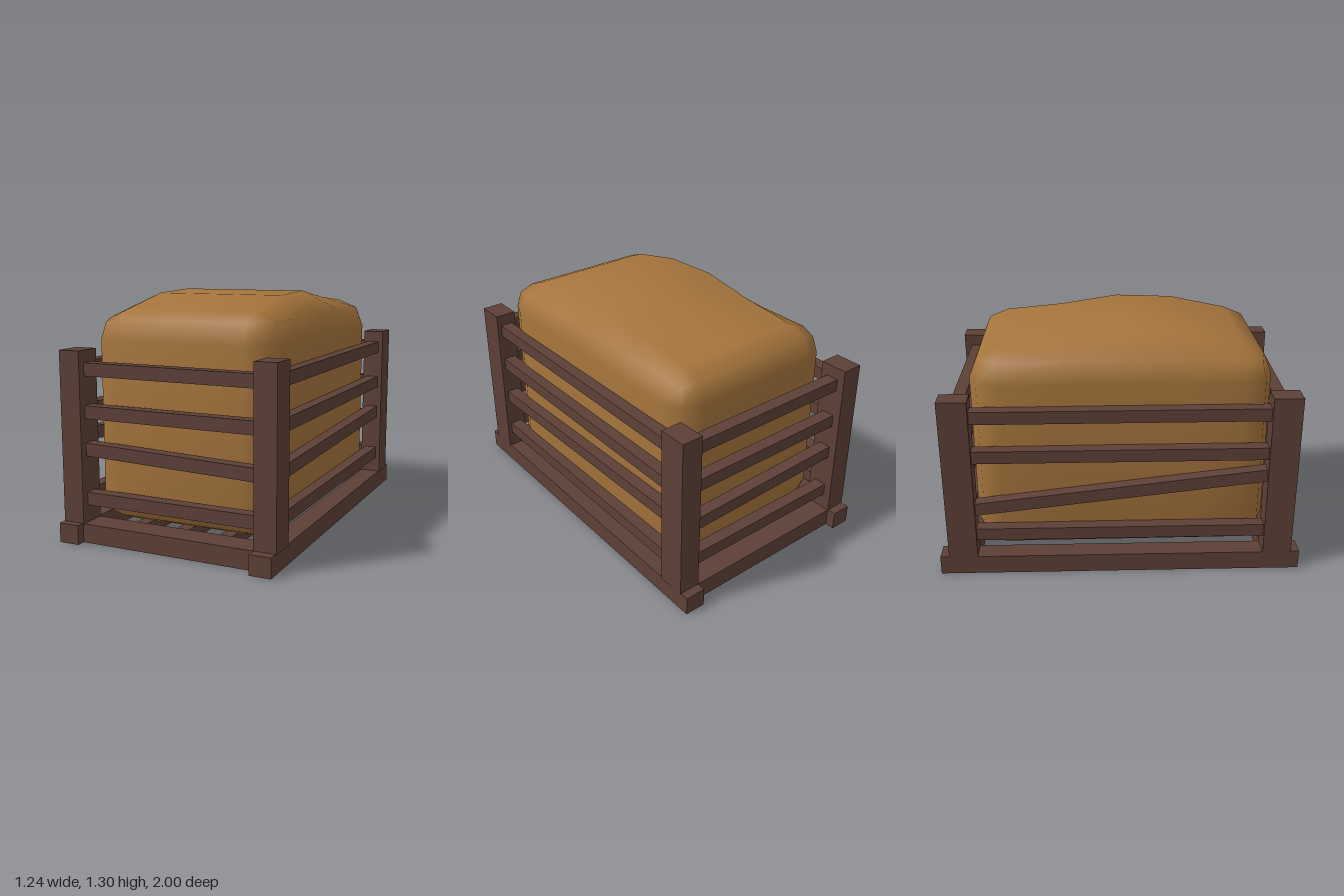
import * as THREE from 'three';
import { mergeVertices } from 'three/addons/utils/BufferGeometryUtils.js';

const wood = new THREE.MeshStandardMaterial({ color: 0x5d4037 });
wood.name = 'darkWood';
const straw = new THREE.MeshStandardMaterial({ color: 0xa5743c });
straw.name = 'straw';

// Straight timber of width w and height h between two points
function beam(name, a, b, w, h) {
  const from = new THREE.Vector3(...a), to = new THREE.Vector3(...b);
  const mesh = new THREE.Mesh(new THREE.BoxGeometry(w, h, from.distanceTo(to)), wood);
  mesh.name = name;
  mesh.position.copy(from).add(to).multiplyScalar(0.5);
  mesh.lookAt(to);
  return mesh;
}

// Rounded block with a two-step bevel and a humped top
function baleGeometry() {
  const half = new THREE.Vector3(0.52, 0.575, 0.805), r = 0.155, centreY = 0.65;
  const geo = new THREE.BoxGeometry(2, 2, 2, 4, 4, 6);
  geo.deleteAttribute('normal');
  geo.deleteAttribute('uv');
  const pos = geo.attributes.position;
  const p = new THREE.Vector3(), core = new THREE.Vector3();
  const cells = { x: 4, y: 4, z: 6 };
  for (let i = 0; i < pos.count; i++) {
    p.fromBufferAttribute(pos, i);
    for (const k of ['x', 'y', 'z']) {
      // outer grid cells become the bevel, inner ones share the flat area
      const n = cells[k] / 2, g = Math.round(p[k] * n), inner = half[k] - r;
      core[k] = Math.abs(g) === n ? Math.sign(g) * inner : (g / (n - 1)) * inner;
      p[k] = Math.abs(g) === n ? Math.sign(g) * r : 0;
    }
    p.setLength(r).add(core);
    p.y += centreY;
    if (p.y > 1.22) {
      const row = Math.round(p.z / 0.325);
      p.y += { '-1': 0.03, 0: 0.08, 1: 0.068 }[row] ?? 0;
    }
    pos.setXYZ(i, p.x, p.y, p.z);
  }
  const merged = mergeVertices(geo, 1e-4);
  merged.computeVertexNormals();
  return merged;
}

export function createModel() {
  const model = new THREE.Group();
  model.name = 'crateWithBale';

  // Slightly crooked corner post centres: [x, z]
  const frontLeft = [0.545, 0.867], frontRight = [-0.56, 0.855];
  const backLeft = [0.555, -0.863], backRight = [-0.55, -0.873];

  // Base frame
  const base = new THREE.Group();
  base.name = 'baseFrame';
  base.add(
    beam('sideRunner', [0.543, 0.0525, 1], [0.555, 0.0525, -0.99], 0.115, 0.105),
    beam('sideRunner', [-0.563, 0.0525, 0.98], [-0.55, 0.0525, -1], 0.115, 0.105),
    beam('frontSill', [0.49, 0.051, 0.864], [-0.51, 0.051, 0.856], 0.15, 0.102),
    beam('backSill', [0.5, 0.051, -0.865], [-0.495, 0.051, -0.873], 0.15, 0.102)
  );
  for (const x of [-0.25, 0, 0.25]) {
    base.add(beam('floorSlat', [x, 0.055, 0.8], [x, 0.055, -0.81], 0.07, 0.07));
  }
  model.add(base);

  // Corner posts
  for (const [x, z] of [frontLeft, frontRight, backLeft, backRight]) {
    const post = new THREE.Mesh(new THREE.BoxGeometry(0.12, 0.92, 0.157), wood);
    post.name = 'cornerPost';
    post.position.set(x, 0.56, z);
    model.add(post);
  }

  // Wall slats: three level rows and one crooked row on every side
  const walls = [
    ['frontSlat', frontRight, frontLeft, 0.498, 0.463],
    ['backSlat', backRight, backLeft, 0.49, 0.455],
    ['leftSlat', frontLeft, backLeft, 0.463, 0.502],
    ['rightSlat', frontRight, backRight, 0.575, 0.375],
  ];
  for (const [name, a, b, ya, yb] of walls) {
    for (const [y0, y1] of [[0.23, 0.23], [ya, yb], [0.695, 0.695], [0.92, 0.92]]) {
      model.add(beam(name, [a[0], y0, a[1]], [b[0], y1, b[1]], 0.07, 0.07));
    }
  }

  // Bale filling the crate
  const bale = new THREE.Mesh(baleGeometry(), straw);
  bale.name = 'bale';
  model.add(bale);

  return model;
}
